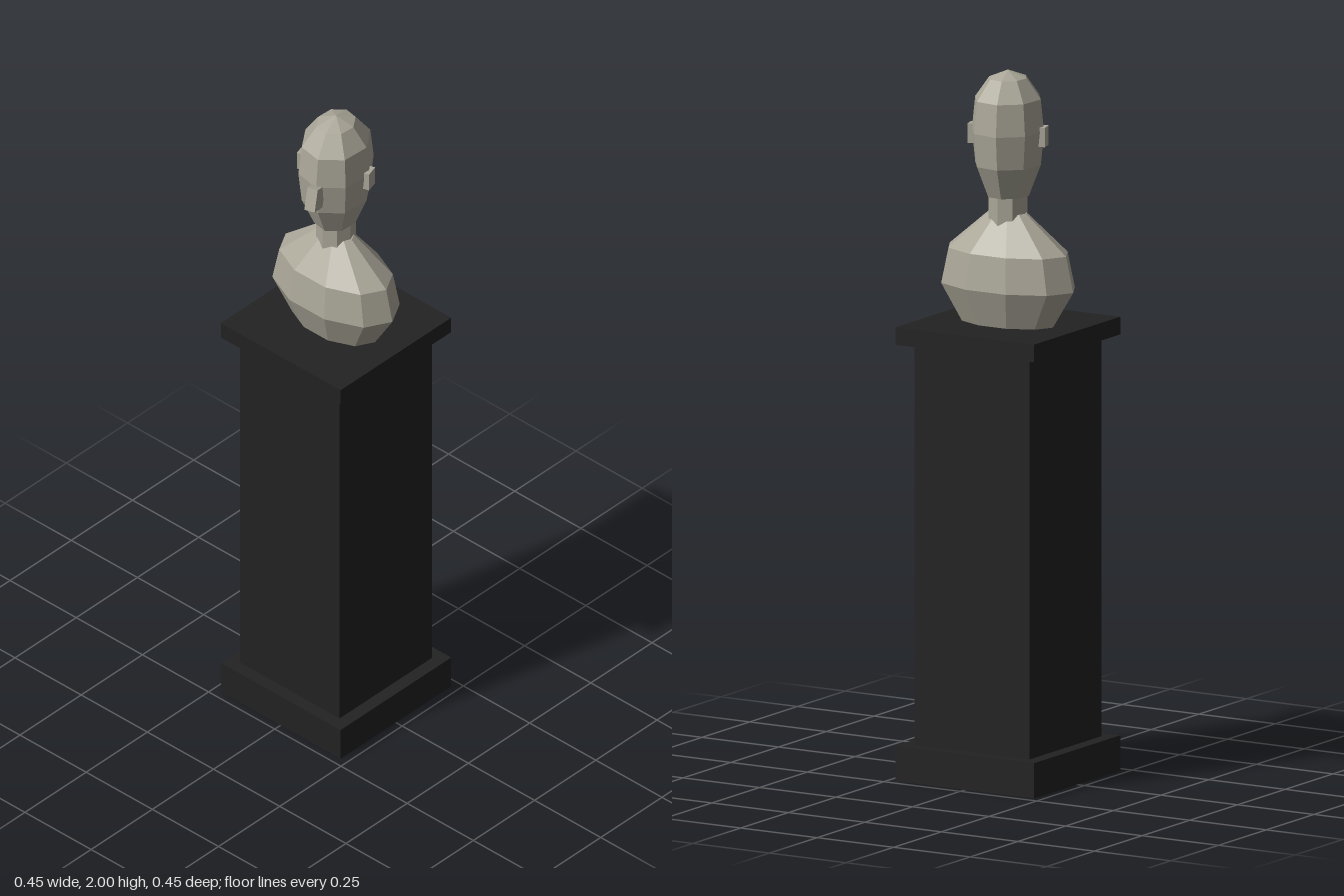
import * as THREE from 'three';

export function createModel() {
  const model = new THREE.Group();
  const material = (name, color) => {
    const m = new THREE.MeshStandardMaterial({ color });
    m.name = name;
    return m;
  };
  const stone = material('stone', 0xaaa698);
  const plinth = material('plinthBlack', 0x222222);
  const dark = material('undersideBlack', 0x0d0d0d);

  const add = (name, geometry, mat, parent = model, x = 0, y = 0, z = 0) => {
    const mesh = new THREE.Mesh(geometry, mat);
    mesh.name = name;
    mesh.position.set(x, y, z);
    parent.add(mesh);
    return mesh;
  };

  // Faceted body of elliptical rings, profile given as [radius, y] from the bottom up
  const facetedBody = (profile, sides, scaleX, scaleZ, start = 0) => {
    const points = profile.map(([r, y]) => new THREE.Vector2(r, y));
    const geometry = new THREE.LatheGeometry(points, sides, start)
      .scale(scaleX, 1, scaleZ).toNonIndexed();
    geometry.computeVertexNormals();
    return geometry;
  };

  // Base: square frame, hollow underneath
  const square = (Type, h) => new Type([[-h, -h], [h, -h], [h, h], [-h, h]]
    .map(([x, y]) => new THREE.Vector2(x, y)));
  const frame = square(THREE.Shape, 0.226);
  frame.holes.push(square(THREE.Path, 0.187));
  const base = new THREE.ExtrudeGeometry(frame, { depth: 0.1, bevelEnabled: false });
  add('plinthBase', base.rotateX(-Math.PI / 2), plinth);

  // Column with a dark underside inside the base, and the cap
  add('plinthColumn', new THREE.BoxGeometry(0.376, 1.135, 0.376),
    [plinth, plinth, plinth, dark, plinth, plinth], model, 0, 0.6675, 0);
  add('plinthCap', new THREE.BoxGeometry(0.452, 0.05, 0.452), plinth, model, 0, 1.26, 0);

  // Shoulders and neck
  add('shoulders', facetedBody(
    [[0, 1.285], [0.147, 1.285], [0.213, 1.39], [0.19, 1.49], [0.06, 1.597], [0, 1.597]],
    10, 1, 0.59, Math.PI / 2), stone);
  add('neck', facetedBody([[0.055, 1.56], [0.055, 1.67]], 8, 1, 1), stone);

  // Head, turned slightly to its left
  const head = new THREE.Group();
  head.name = 'head';
  head.rotation.y = 0.28;
  model.add(head);
  add('skull', facetedBody(
    [[0.58, 1.646], [0.91, 1.735], [1, 1.83], [0.91, 1.92], [0.52, 1.978], [0, 2]],
    8, 0.104, 0.122), stone, head);
  add('headUnderside', facetedBody([[0, 1.646], [0.58, 1.646]], 8, 0.104, 0.122), dark, head);

  // Ears
  for (const side of [-1, 1]) {
    add(side > 0 ? 'leftEar' : 'rightEar', new THREE.BoxGeometry(0.03, 0.055, 0.038),
      stone, head, side * 0.097, 1.817, 0);
  }

  // Nose, tilted so its tip juts forward
  const nose = add('nose', new THREE.BoxGeometry(0.032, 0.068, 0.05),
    [stone, stone, stone, dark, stone, stone], head, 0, 1.803, 0.13);
  nose.rotation.x = -0.28;

  return model;
}
